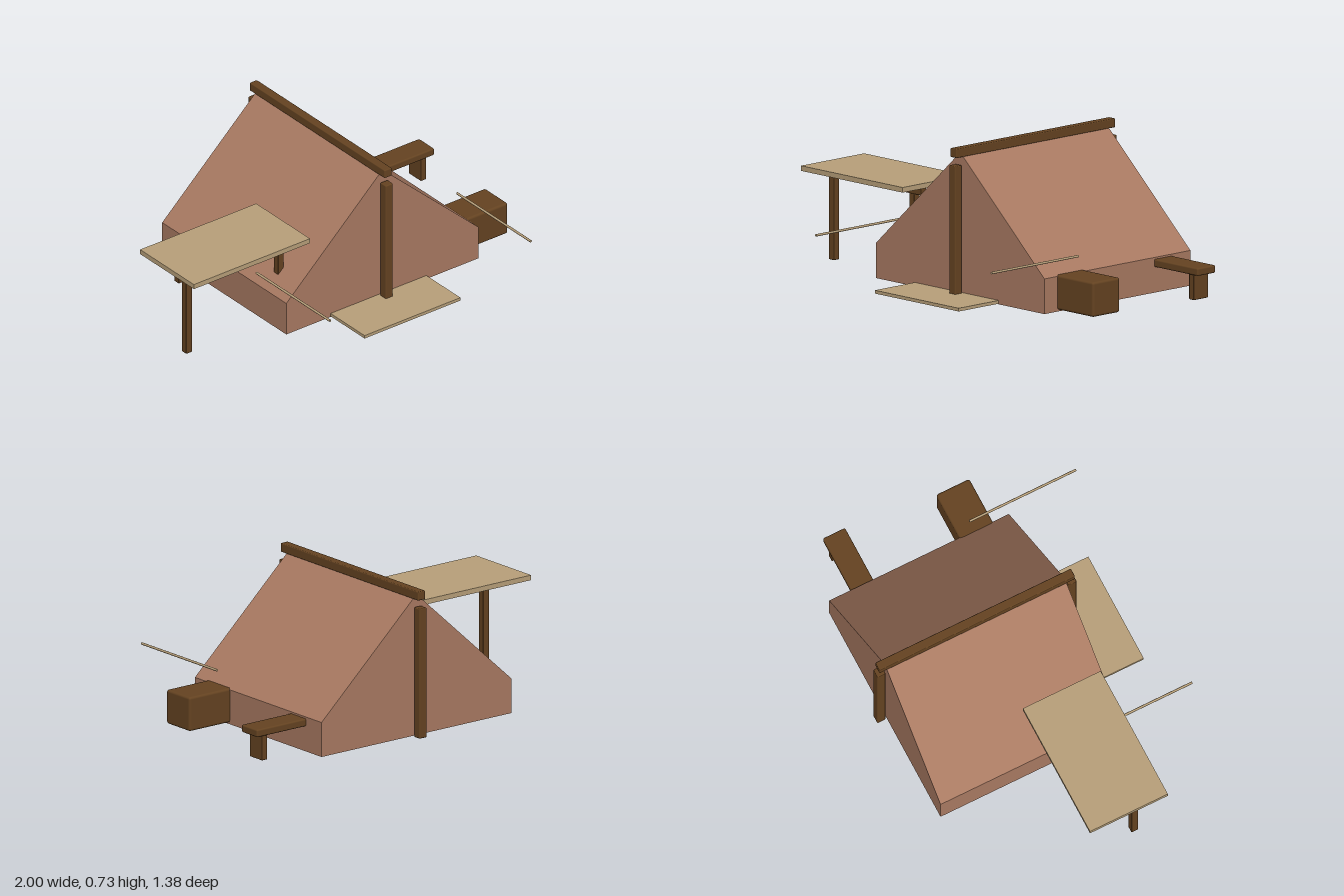
import * as THREE from 'three';
import { RoundedBoxGeometry } from 'three/addons/geometries/RoundedBoxGeometry.js';

function material(name, color) {
  const m = new THREE.MeshStandardMaterial({ color });
  m.name = name;
  return m;
}

export function createModel() {
  const model = new THREE.Group();
  model.name = 'tentCamp';
  const canvas = material('clay canvas', 0xa97a62);
  const wood = material('dark wood', 0x654321);
  const tan = material('pale tan', 0xb8a07a);

  function add(name, geometry, mat, parent = model) {
    const mesh = new THREE.Mesh(geometry, mat);
    mesh.name = name;
    parent.add(mesh);
    return mesh;
  }

  // Box given by its extents [min, max] on each axis, with optional soft edges
  function block(name, [x0, x1], [y0, y1], [z0, z1], mat, radius = 0, parent = model) {
    const size = [x1 - x0, y1 - y0, z1 - z0];
    const geometry = radius
      ? new RoundedBoxGeometry(...size, 2, radius)
      : new THREE.BoxGeometry(...size);
    add(name, geometry, mat, parent)
      .position.set((x0 + x1) / 2, (y0 + y1) / 2, (z0 + z1) / 2);
  }

  // Tent body: low side walls and a gabled roof
  const gable = new THREE.Shape([
    [-0.46, 0.004], [0.7, 0.004], [0.7, 0.175], [0.12, 0.703], [-0.46, 0.175],
  ].map(([x, y]) => new THREE.Vector2(x, y)));
  const body = new THREE.ExtrudeGeometry(gable, { depth: 0.96, bevelEnabled: false });
  add('tentBody', body, canvas).position.z = -0.64;

  // Ridge beam and end poles
  block('ridgeBeam', [0.098, 0.142], [0.683, 0.727], [-0.68, 0.365], wood, 0.005);
  block('frontPole', [0.098, 0.142], [0, 0.645], [0.33, 0.374], wood, 0.005);
  block('backPole', [0.098, 0.142], [0, 0.645], [-0.691, -0.647], wood, 0.005);

  // Entrance mat
  block('entranceMat', [-0.193, 0.385], [0.007, 0.023], [0.31, 0.583], tan);

  // Table or awning board on a rail with two legs
  const table = new THREE.Group();
  table.name = 'sideTable';
  model.add(table);
  block('tableTop', [-1, -0.3], [0.44, 0.465], [-0.118, 0.298], tan, 0, table);
  block('tableRail', [-0.99, -0.31], [0.405, 0.44], [0.132, 0.168], wood, 0.004, table);
  for (const x of [-0.927, -0.373]) {
    block('tableLeg', [x - 0.018, x + 0.018], [0, 0.407], [0.132, 0.168], wood, 0.004, table);
  }

  // Guide rods on either side of the entrance
  for (const x of [-0.485, 0.725]) {
    const rod = new THREE.CylinderGeometry(0.006, 0.006, 0.57, 10).rotateX(Math.PI / 2);
    add('guideRod', rod, tan).position.set(x, 0.261, 0.407);
  }

  // Storage chest against the side wall
  block('storageChest', [0.67, 0.945], [0.012, 0.181], [0.056, 0.234], wood, 0.012);

  // Bench with a slab leg
  const bench = new THREE.Group();
  bench.name = 'bench';
  model.add(bench);
  block('benchSeat', [0.67, 0.998], [0.128, 0.166], [-0.522, -0.403], wood, 0.008, bench);
  block('benchLeg', [0.925, 0.959], [0.004, 0.132], [-0.51, -0.415], wood, 0.004, bench);

  return model;
}
